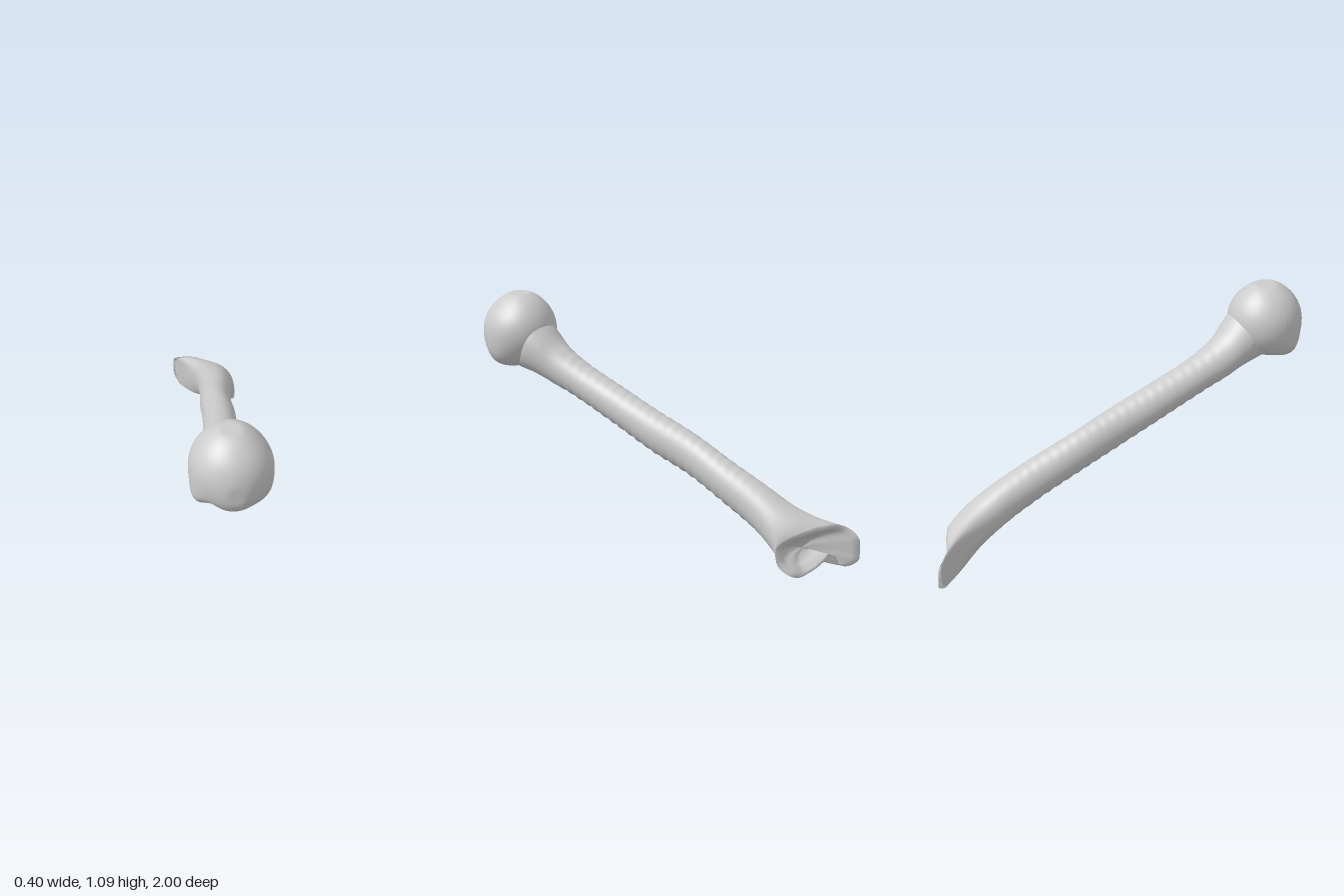
import * as THREE from 'three';

const material = new THREE.MeshStandardMaterial({ color: 0xcccccc, side: THREE.DoubleSide });

// Shaft stations: [-z, xMin, xMax, yMin, yMax, end skew, corner squareness, notch depth]
const STATIONS = [
  [-0.90, -0.07, 0.06, 0.77, 0.90, 0, 0, 0],
  [-0.80, -0.11, 0.09, 0.735, 0.98, 0, 0, 0],
  [-0.70, -0.13, 0.11, 0.715, 1.00, 0, 0, 0],
  [-0.64, -0.12, 0.10, 0.695, 0.95, 0, 0, 0],
  [-0.58, -0.11, 0.085, 0.67, 0.885, 0, 0, 0],
  [-0.48, -0.095, 0.075, 0.635, 0.82, 0, 0, 0],
  [-0.20, -0.07, 0.09, 0.52, 0.705, 0, 0, 0],
  [0.00, -0.05, 0.105, 0.435, 0.63, 0, 0, 0],
  [0.20, -0.04, 0.11, 0.36, 0.555, 0, 0, 0],
  [0.40, -0.02, 0.14, 0.27, 0.47, 0, 0, 0],
  [0.60, -0.01, 0.165, 0.17, 0.38, 0.1, 0.1, 0.005],
  [0.72, -0.015, 0.185, 0.09, 0.315, 0.3, 0.2, 0.02],
  [0.80, -0.045, 0.195, 0.03, 0.27, 0.55, 0.35, 0.05],
  [0.865, -0.10, 0.20, 0.005, 0.235, 0.8, 0.4, 0.085],
];
const RINGS = 130, SIDES = 56;

function loft(rings) {
  const pos = [], index = [];
  rings.forEach(r => r.forEach(p => pos.push(p.x, p.y, p.z)));
  for (let i = 0; i < rings.length - 1; i++) {
    for (let j = 0; j < SIDES; j++) {
      const k = (j + 1) % SIDES;
      const a = i * SIDES + j, b = i * SIDES + k, c = a + SIDES, d = b + SIDES;
      index.push(a, c, b, b, c, d);
    }
  }
  const g = new THREE.BufferGeometry();
  g.setAttribute('position', new THREE.Float32BufferAttribute(pos, 3));
  g.setIndex(index);
  g.computeVertexNormals();
  return g;
}

function shaftRing(t, [x0, x1, y0, y1, skew, square, notch]) {
  const ring = [], xc = (x0 + x1) / 2, yc = (y0 + y1) / 2;
  // fine growth ridges along the middle of the shaft
  const fade = THREE.MathUtils.smoothstep(t, -0.65, -0.45) * (1 - THREE.MathUtils.smoothstep(t, 0.4, 0.7));
  const ripple = fade * 0.004 * Math.sin(t * Math.PI * 2 / 0.05);
  for (let j = 0; j < SIDES; j++) {
    const a = j / SIDES * Math.PI * 2, c = Math.cos(a), s = Math.sin(a);
    const e = c > 0 && s > 0 ? 1 : 1 - square;
    const x = xc + Math.sign(c) * Math.abs(c) ** e * (x1 - x0) / 2;
    let y = yc + Math.sign(s) * Math.abs(s) ** e * (y1 - y0) / 2;
    y += ripple * (s < 0 ? s : 0.4 * s);
    y += notch * Math.exp(-(((a - 4.45) / 0.25) ** 2));
    // ragged slant at the broken end
    const ragged = 0.25 * notch * Math.sin(3 * a + 1);
    ring.push(new THREE.Vector3(x, Math.max(y, 0), Math.max(-t + skew * (x - xc) + ragged, -1)));
  }
  return ring;
}

function shaftGeometry() {
  const times = STATIONS.map(s => s[0]);
  const spline = new THREE.CubicInterpolant(times, STATIONS.flatMap(s => s.slice(1)), 7, new Float32Array(7));
  const t0 = times[0], t1 = times[times.length - 1], rings = [];
  for (let i = 0; i <= RINGS; i++) {
    const t = t0 + (t1 - t0) * i / RINGS;
    rings.push(shaftRing(t, Array.from(spline.evaluate(t))));
  }
  // close the start inside the head
  const start = new THREE.Vector3(0, 0.84, 0.92);
  rings.unshift(rings[0].map(() => start.clone()));
  // hollow the broken end
  const end = rings[rings.length - 1];
  const centre = end.reduce((m, p) => m.add(p), new THREE.Vector3()).divideScalar(SIDES);
  for (const [scale, depth] of [[0.82, 0.005], [0.6, 0.05], [0.3, 0.08], [0, 0.085]]) {
    rings.push(end.map(p => {
      const q = centre.clone().lerp(p, scale);
      q.z += depth;
      return q;
    }));
  }
  return loft(rings);
}

// Swellings and grooves of the head: [direction, height, tightness]
const BUMPS = [
  [[-0.75, -0.65, 0.3], 0.034, 14],
  [[0.7, -0.7, 0.2], 0.026, 10],
  [[0, -0.55, 0.8], 0.022, 8],
  [[-0.5, -0.7, 0.5], -0.03, 60],
  [[0, 1, -0.1], 0.012, 6],
  [[0.7, 0.65, 0], -0.008, 8],
].map(([d, h, k]) => [new THREE.Vector3(...d).normalize(), h, k]);

function headGeometry() {
  const g = new THREE.SphereGeometry(1, 72, 48), p = g.attributes.position;
  const v = new THREE.Vector3();
  for (let i = 0; i < p.count; i++) {
    v.fromBufferAttribute(p, i).normalize();
    let r = 0.178;
    for (const [d, h, k] of BUMPS) r += h * Math.exp(k * (v.dot(d) - 1));
    v.multiplyScalar(r).add(new THREE.Vector3(-0.02, 0.92, 0.82));
    p.setXYZ(i, v.x, Math.min(v.y, 1.1), Math.min(v.z, 1));
  }
  g.computeVertexNormals();
  return g;
}

export function createModel() {
  const group = new THREE.Group();
  group.name = 'armBone';
  for (const [name, geometry] of [['shaft', shaftGeometry()], ['head', headGeometry()]]) {
    const mesh = new THREE.Mesh(geometry, material);
    mesh.name = name;
    group.add(mesh);
  }
  return group;
}
